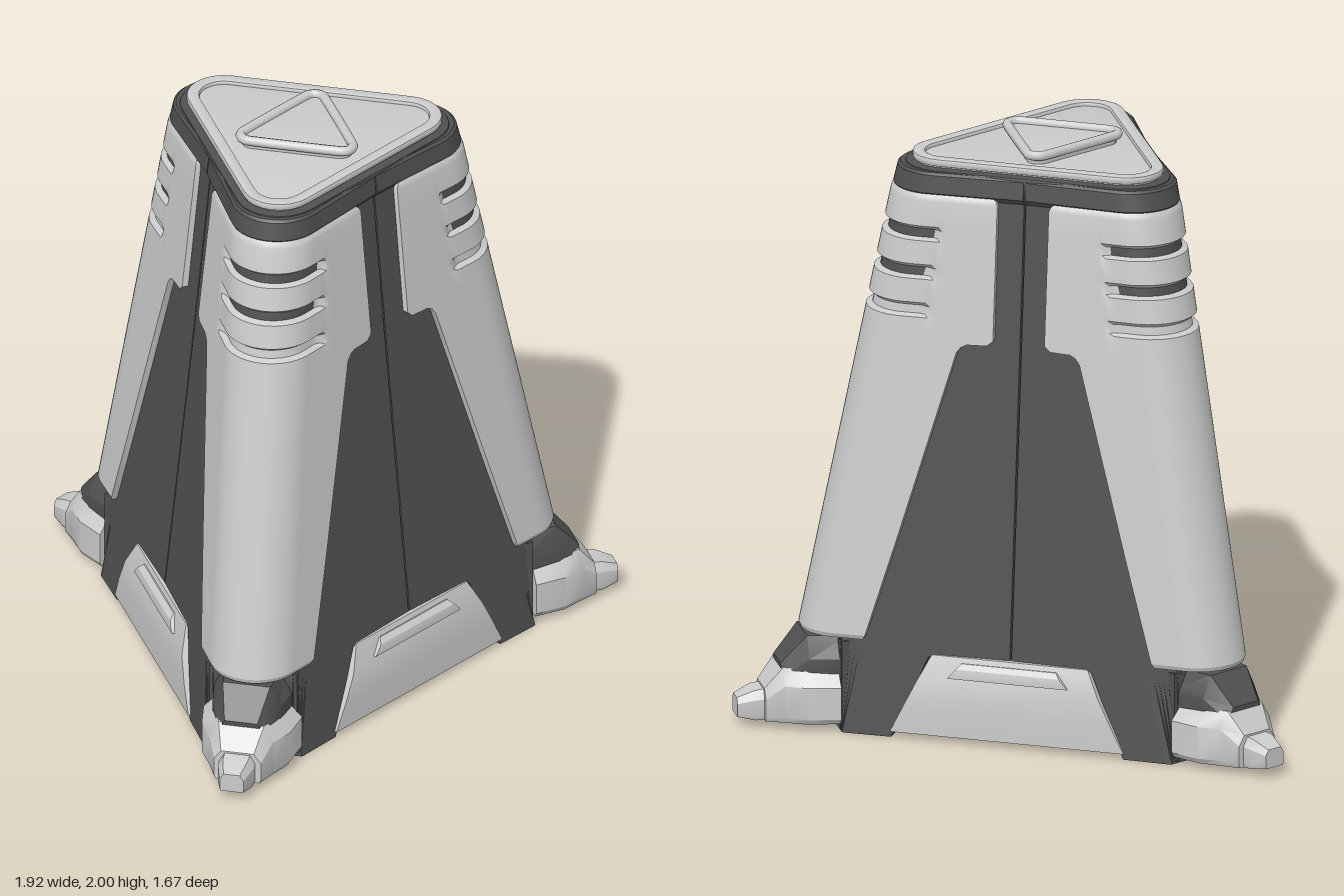
import * as THREE from 'three';
import { toCreasedNormals } from 'three/addons/utils/BufferGeometryUtils.js';

const light = new THREE.MeshStandardMaterial({ color: 0xcccccc, side: THREE.DoubleSide });
const dark = new THREE.MeshStandardMaterial({ color: 0x505050, side: THREE.DoubleSide });
const CENTER_Z = 0.258;   // axis of the threefold symmetry
const ROUND = 0.16;       // corner radius of the tapering triangle
const VALLEY = 0.016;     // how far each face dips towards its middle seam

function mesh(name, geometry, material, parent, crease = 0.5) {
  const m = new THREE.Mesh(toCreasedNormals(geometry, crease), material);
  m.name = name;
  parent.add(m);
  return m;
}

// Triangles over a rows x columns grid of points
function gridGeometry(grid) {
  const cols = grid[0].length, index = [];
  for (let j = 0; j < grid.length - 1; j++) {
    for (let i = 0; i < cols - 1; i++) {
      const a = j * cols + i, b = a + cols;
      index.push(a, a + 1, b, a + 1, b + 1, b);
    }
  }
  const g = new THREE.BufferGeometry();
  g.setAttribute('position', new THREE.Float32BufferAttribute(grid.flat(2), 3));
  g.setIndex(index);
  return g;
}

// Point on one corner sector (corner towards +x). k runs 0..1 along the flat, 1..2 round the arc.
function skin(y, k, side, edge, off) {
  const r = 0.55 - 0.105 * y, flat = Math.sqrt(3) * (r - ROUND);
  if (k <= 1) {
    const t = edge + (flat - edge) * k;
    const d = r + off - VALLEY * (1 - t / flat);
    return [0.5 * d + 0.866 * t, y, side * (0.866 * d - 0.5 * t)];
  }
  const a = (2 - k) * Math.PI / 3;
  return [2 * (r - ROUND) + (ROUND + off) * Math.cos(a), y, side * (ROUND + off) * Math.sin(a)];
}

// Corner shell with returned edges; rows are [y, distance of edge from seam, offset, groove depth]
function cornerShell(rows, depth, maxX = 9) {
  const flatSteps = 20, arcSteps = 8, half = [];
  for (let i = 0; i <= flatSteps; i++) half.push(i / flatSteps);
  for (let i = 1; i <= arcSteps; i++) half.push(1 + i / arcSteps);
  const cols = [...half.map(k => [k, 1]), ...half.slice(0, -1).reverse().map(k => [k, -1])];
  const makeRow = ([y, edge, off, groove = 0], inset) => {
    const line = cols.map(([k, s]) => {
      const g = groove * THREE.MathUtils.smoothstep(k, 0.66, 0.82);
      return skin(y, k, s, edge, off - g - inset);
    });
    line.unshift(skin(y, 0, 1, edge, off - depth));
    line.push(skin(y, 0, -1, edge, off - depth));
    return line.map(([x, py, z]) => [Math.min(x, maxX), py, z]);
  };
  return gridGeometry([
    makeRow(rows[0], depth),
    ...rows.map(r => makeRow(r, 0)),
    makeRow(rows[rows.length - 1], depth),
  ]);
}

// Lofted block along +x; stations are [x, halfWidth, bottom, top], with chamfered upper edges
function loft(stations) {
  const ring = ([x, w, b, t]) => {
    const h = t - b;
    const p = [[-w * 0.92, b], [-w, b + h * 0.1], [-w, b + h * 0.7], [-w * 0.7, t],
      [w * 0.7, t], [w, b + h * 0.7], [w, b + h * 0.1], [w * 0.92, b], [-w * 0.92, b]];
    return p.map(([z, y]) => [x, y, z]);
  };
  const cap = ([x, , b, t]) => Array.from({ length: 9 }, () => [x, (b + t) / 2, 0]);
  const last = stations[stations.length - 1];
  return gridGeometry([cap(stations[0]), ...stations.map(ring), cap(last)]);
}

// Points of a rounded triangle, one corner towards +y of the shape (that is, the back)
function roundedTriangle(r, q) {
  const pts = [];
  for (let c = 0; c < 3; c++) {
    const dir = Math.PI / 2 + c * Math.PI * 2 / 3;
    for (let i = 0; i <= 8; i++) {
      const a = dir + (i / 8 - 0.5) * Math.PI * 2 / 3;
      pts.push(new THREE.Vector2(
        2 * (r - q) * Math.cos(dir) + q * Math.cos(a),
        2 * (r - q) * Math.sin(dir) + q * Math.sin(a)));
    }
  }
  return pts;
}

// Horizontal triangular plate or ring from y0 to y1
function plate(r, q, y0, y1, holeR, holeQ, bevel = 0.006) {
  const shape = new THREE.Shape(roundedTriangle(r - bevel, q - bevel));
  if (holeR) shape.holes.push(new THREE.Path(roundedTriangle(holeR, holeQ).reverse()));
  const g = new THREE.ExtrudeGeometry(shape, {
    depth: y1 - y0 - 2 * bevel, bevelEnabled: true, bevelSize: bevel, bevelThickness: bevel, bevelSegments: 2,
  });
  return g.rotateX(-Math.PI / 2).translate(0, y0 + bevel, 0);
}

// Box facing +z, narrowing upwards, its upper part leaning back
function trapezoid(bottomHalf, topHalf, y0, y1, z, thick, lean) {
  const g = new THREE.BoxGeometry(1, 1, 1, 1, 3, 1), p = g.attributes.position;
  for (let i = 0; i < p.count; i++) {
    const f = p.getY(i) + 0.5;
    p.setXYZ(i, p.getX(i) * 2 * THREE.MathUtils.lerp(bottomHalf, topHalf, f),
      THREE.MathUtils.lerp(y0, y1, f),
      z + (p.getZ(i) - 0.5) * thick - lean * Math.max(0, (f - 0.6) / 0.4));
  }
  return g;
}

export function createModel() {
  const model = new THREE.Group();
  const tower = new THREE.Group();
  tower.name = 'tower';
  tower.position.z = CENTER_Z;
  model.add(tower);

  // Dark body rows: arch between the legs, plain wall, flush collar at the top
  const seam = 0.003;
  const bodyRows = [[0.005, 0.405, -0.022], [0.285, 0.285, -0.022], [0.297, 0.265, -0.022],
    [0.298, seam, -0.022], [0.8, seam, -0.022], [1.3, seam, -0.022], [1.845, seam, -0.018],
    [1.862, seam, -0.004], [1.922, seam, -0.006], [1.93, seam, -0.014]];

  // Light armour rows: slanted lower edge, step, then three grooves round the corner
  const armourRows = [[0.33, 0.51, -0.008], [0.345, 0.5, 0], [0.7, 0.395, 0], [1.05, 0.295, 0],
    [1.33, 0.215, 0], [1.35, 0.2, 0], [1.36, 0.18, 0], [1.362, 0.11, 0], [1.38, 0.09, 0]];
  for (const y of [1.47, 1.6, 1.73]) {
    armourRows.push([y - 0.03, 0.09, 0], [y - 0.022, 0.09, 0, 0.02],
      [y + 0.006, 0.09, 0, 0.02], [y + 0.02, 0.09, 0]);
  }
  armourRows.push([1.835, 0.09, 0], [1.85, 0.095, -0.002], [1.858, 0.105, -0.007]);

  for (let i = 0; i < 3; i++) {
    // Corner sector: wall, armour, leg and foot
    const corner = new THREE.Group();
    corner.name = 'corner' + (i + 1);
    corner.rotation.y = Math.PI / 2 + i * Math.PI * 2 / 3;
    tower.add(corner);
    mesh('bodyWall', cornerShell(bodyRows, 0.08, 0.76), dark, corner);
    mesh('cornerArmour', cornerShell(armourRows, 0.04), light, corner);
    mesh('legBlock', new THREE.BoxGeometry(0.12, 0.31, 0.3).translate(0.697, 0.162, 0), dark, corner);
    mesh('ankle', loft([[0.72, 0.14, 0.08, 0.322], [0.86, 0.115, 0.08, 0.322],
      [0.945, 0.08, 0.08, 0.225]]), dark, corner);
    mesh('foot', loft([[0.762, 0.168, 0.03, 0.215], [0.87, 0.15, 0.03, 0.215],
      [0.94, 0.11, 0.03, 0.215], [1.0, 0.08, 0.03, 0.14]]), light, corner);
    mesh('toe', loft([[0.95, 0.062, 0.03, 0.14], [1.03, 0.06, 0.03, 0.13],
      [1.088, 0.04, 0.04, 0.105]]), light, corner);

    // Skirt filling the arch of each face
    const face = new THREE.Group();
    face.name = 'face' + (i + 1);
    face.rotation.y = i * Math.PI * 2 / 3;
    tower.add(face);
    mesh('skirt', trapezoid(0.408, 0.272, 0.025, 0.296, 0.527, 0.06, 0.035), light, face);
    mesh('skirtRidge', trapezoid(0.21, 0.165, 0.228, 0.278, 0.522, 0.05, 0.02), light, face);
  }

  // Top cover with raised rim and a reversed triangular frame
  mesh('collarTop', plate(0.325, 0.145, 1.87, 1.935), dark, tower);
  mesh('lid', plate(0.29, 0.11, 1.92, 1.953), light, tower);
  mesh('lidRim', plate(0.303, 0.125, 1.94, 1.967, 0.268, 0.09, 0.008), light, tower);
  const emblem = new THREE.Group();
  emblem.name = 'topFrame';
  emblem.rotation.y = Math.PI;
  tower.add(emblem);
  mesh('topPlate', plate(0.125, 0.04, 1.945, 1.98), light, emblem);
  const path = new THREE.CatmullRomCurve3(
    roundedTriangle(0.125, 0.035).map(p => new THREE.Vector3(p.x, 1.983, -p.y)), true, 'centripetal');
  mesh('topFrameTube', new THREE.TubeGeometry(path, 120, 0.017, 8, true), light, emblem, 1);
  return model;
}
